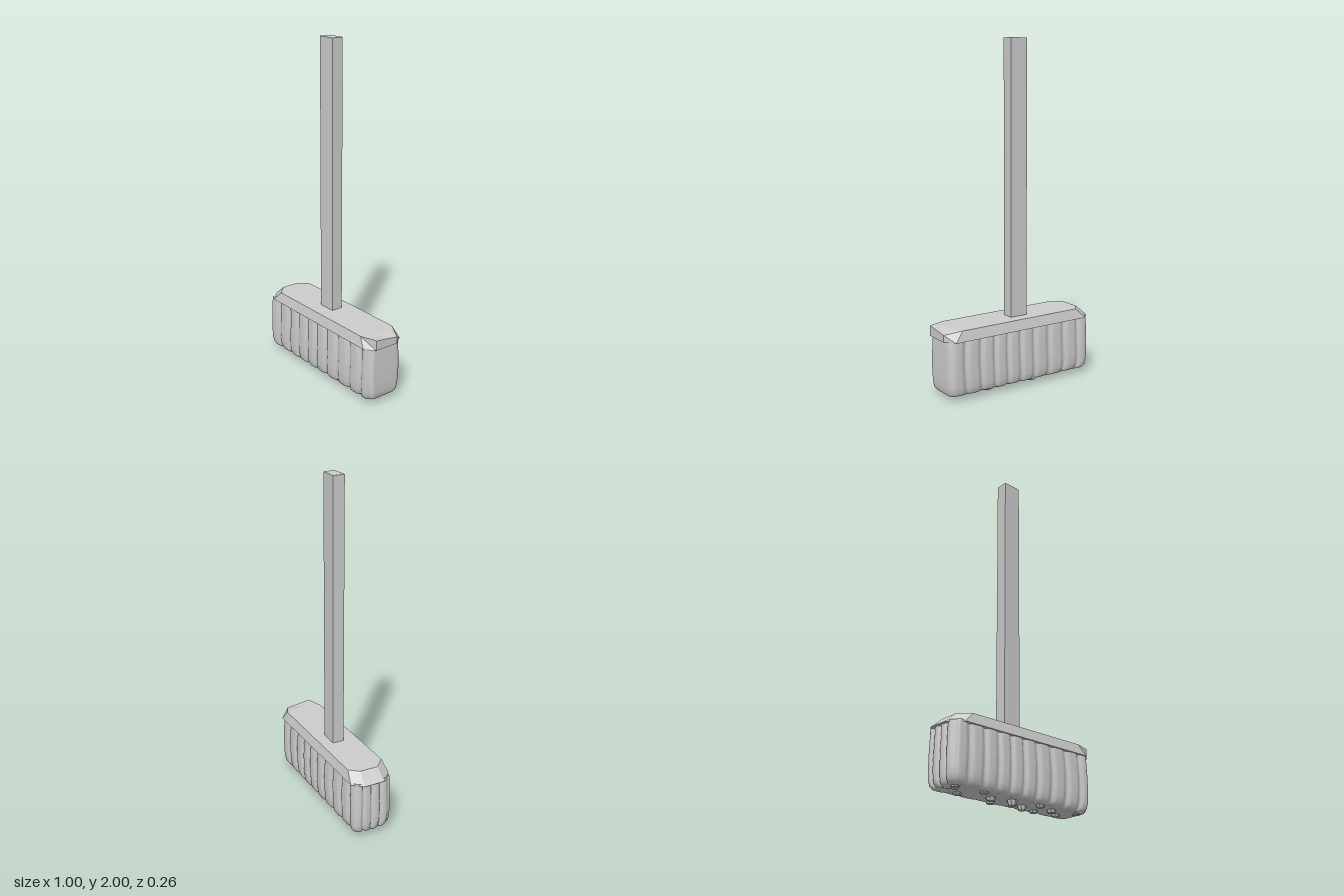
import * as THREE from 'three';

const mat = (opts = {}) => new THREE.MeshStandardMaterial({ color: 0xcccccc, ...opts });

function add(group, name, geometry, material) {
  const mesh = new THREE.Mesh(geometry, material);
  mesh.name = name;
  group.add(mesh);
  return mesh;
}

// Closed skin over stacked rings that share a point count; rings run from +x towards +z, top to bottom.
function loft(rings) {
  const n = rings[0].length, pos = rings.flat(2), index = [];
  for (let i = 0; i < rings.length - 1; i++) {
    for (let j = 0; j < n; j++) {
      const k = (j + 1) % n, a = i * n + j, b = i * n + k;
      index.push(a, b, a + n, b, b + n, a + n);
    }
  }
  const geo = new THREE.BufferGeometry();
  geo.setAttribute('position', new THREE.Float32BufferAttribute(pos, 3));
  geo.setIndex(index);
  geo.computeVertexNormals();
  return geo;
}

// Bevelled eight-sided block, its +x end left nearly upright
function headGeometry() {
  const top = [[0.5, 0.39, -0.07], [0.5, 0.41, 0.08], [0.4, 0.41, 0.113], [-0.365, 0.41, 0.113],
    [-0.43, 0.41, 0.05], [-0.43, 0.41, -0.06], [-0.385, 0.41, -0.115], [0.405, 0.41, -0.115]];
  const base = [[0.5, -0.07], [0.5, 0.08], [0.445, 0.127], [-0.425, 0.127],
    [-0.5, 0.055], [-0.5, -0.07], [-0.45, -0.13], [0.455, -0.13]].map(([x, z]) => [x, 0.35, z]);
  const inner = top.map(([x, y, z], i) => (i === 0 ? [0.44, 0.41, -0.06] : i === 1 ? [0.44, 0.41, 0.07] : [x, y, z]));
  const middle = (y) => base.map(() => [0, y, 0]);
  const geo = loft([middle(0.41), inner, top, base, middle(0.35)]).toNonIndexed();
  geo.computeVertexNormals();
  return geo;
}

// Bristle body: a rounded oblong pleated by narrow creases between the tufts
function bristleGeometry() {
  const w = 0.487, d = 0.122, r = 0.04, q = Math.PI / 2;
  const outline = new THREE.Shape();
  outline.moveTo(w, -d + r);
  outline.absarc(w - r, d - r, r, 0, q);
  outline.absarc(-w + r, d - r, r, q, 2 * q);
  outline.absarc(-w + r, -d + r, r, 2 * q, 3 * q);
  outline.absarc(w - r, -d + r, r, 3 * q, 4 * q);
  const points = outline.getSpacedPoints(360).slice(0, -1);
  const crease = (u, pitch) => Math.abs(Math.cos(Math.PI * u / pitch)) ** 7;

  // Each row: height, outline scale, crease strength
  const rows = [[0.36, 0.95, 0.9], [0.34, 0.97, 1], [0.3, 0.98, 1], [0.22, 1, 0.9], [0.13, 1, 0.8],
    [0.08, 0.98, 0.9], [0.05, 0.94, 1], [0.035, 0.86, 1], [0.028, 0.72, 0.8], [0.03, 0.45, 0.3], [0.03, 0, 0]];
  return loft(rows.map(([y, s, c]) => points.map(({ x, y: z }) => {
    const wobble = 0.012 * Math.sin(9 * x + Math.sign(z)) + 0.004 * Math.sin(20 * y);
    const dz = 0.015 * c * crease(x + wobble, 0.098) * Math.min(1, Math.abs(z) / d);
    const dx = 0.014 * c * crease(z + 0.012, 0.06) * Math.max(0, (Math.abs(x) - 0.4) / (w - 0.4));
    const lump = y < 0.1 ? 0.005 * Math.sin(31 * x) * Math.cos(40 * z) : 0;
    return [(x - Math.sign(x) * dx) * (1 - (1 - s) * 0.25), y + lump, (z - Math.sign(z) * dz) * s];
  })));
}

export function createModel() {
  const broom = new THREE.Group();
  broom.name = 'broom';

  // Square-edged handle
  const handle = add(broom, 'handle', new THREE.BoxGeometry(0.11, 1.6, 0.07), mat());
  handle.position.set(-0.02, 1.2, -0.01);

  add(broom, 'head', headGeometry(), mat({ flatShading: true }));
  add(broom, 'bristles', bristleGeometry(), mat());

  // Loose bristle ends below the body: x, z, lowest point
  const ends = [[-0.42, 0.05, 0.022], [-0.33, -0.05, 0.02], [-0.24, 0.06, 0.02], [-0.145, 0, 0.01],
    [-0.09, -0.07, 0.018], [-0.025, 0.03, 0], [0.09, -0.02, 0.004], [0.15, 0.06, 0.015],
    [0.21, -0.06, 0.018], [0.27, 0.02, 0.012], [0.36, -0.04, 0.018], [0.43, 0.05, 0.022]];
  const tips = new THREE.Group();
  tips.name = 'bristleEnds';
  broom.add(tips);
  for (const [x, z, y] of ends) {
    const h = 0.055 - y;
    const tip = add(tips, 'bristleEnd', new THREE.CylinderGeometry(0.036, 0.02, h, 7), mat({ flatShading: true }));
    tip.position.set(x, y + h / 2, z);
  }
  return broom;
}
